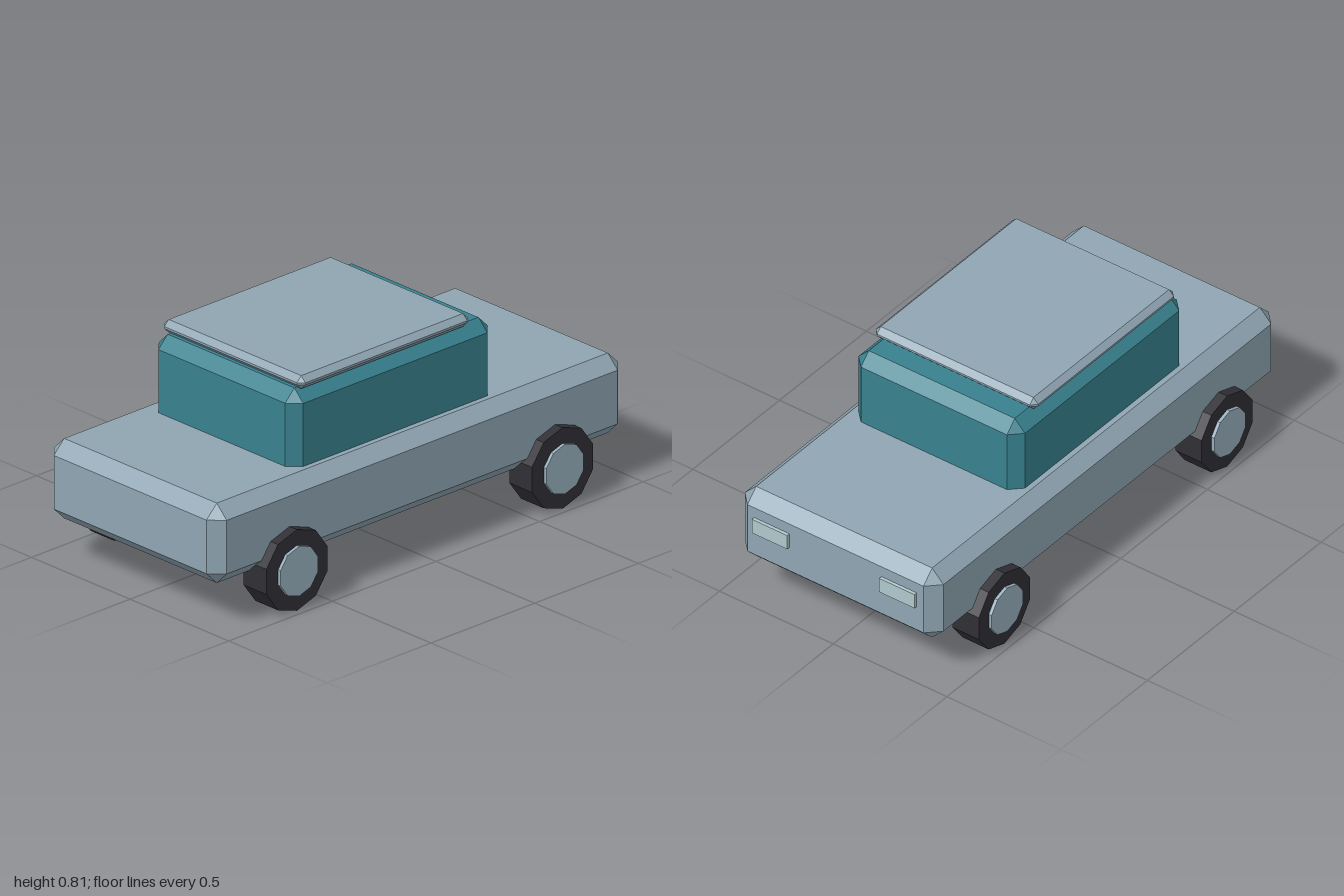
import * as THREE from 'three';
import { ConvexGeometry } from 'three/addons/geometries/ConvexGeometry.js';

const mat = (name, color) => {
  const m = new THREE.MeshStandardMaterial({ color, flatShading: true });
  m.name = name;
  return m;
};

// Box with bevelled edges between two corners
function bevelBox([x0, y0, z0], [x1, y1, z1], c) {
  const w = (x1 - x0) / 2, h = (y1 - y0) / 2, d = (z1 - z0) / 2;
  const pts = [];
  for (const sx of [-1, 1]) for (const sy of [-1, 1]) for (const sz of [-1, 1]) {
    pts.push(
      new THREE.Vector3(sx * w, sy * (h - c), sz * (d - c)),
      new THREE.Vector3(sx * (w - c), sy * h, sz * (d - c)),
      new THREE.Vector3(sx * (w - c), sy * (h - c), sz * d));
  }
  return new ConvexGeometry(pts).translate((x0 + x1) / 2, (y0 + y1) / 2, (z0 + z1) / 2);
}

export function createModel() {
  const group = new THREE.Group();
  group.name = 'car';
  const paint = mat('greyBluePaint', 0x8fa5b2);
  const glass = mat('tealGlass', 0x38818f);
  const rubber = mat('darkRubber', 0x302f35);
  const metal = mat('hubMetal', 0x98b0be);
  const lens = mat('paleLens', 0xb0c8cc);

  const add = (name, geometry, material, parent = group) => {
    const mesh = new THREE.Mesh(geometry, material);
    mesh.name = name;
    parent.add(mesh);
    return mesh;
  };

  // Body, cabin sunk into it, and thin roof panel
  add('body', bevelBox([-0.437, 0.163, -0.987], [0.437, 0.468, 1], 0.05), paint);
  add('cabin', bevelBox([-0.366, 0.4, -0.42], [0.366, 0.754, 0.558], 0.045), glass);
  add('roof', bevelBox([-0.357, 0.75, -0.308], [0.357, 0.8, 0.515], 0.021), paint);

  // Ten-sided wheels with raised hubs
  const tyre = new THREE.CylinderGeometry(0.155, 0.155, 0.115, 10).rotateZ(Math.PI / 2);
  const hub = new THREE.CylinderGeometry(0.095, 0.095, 0.03, 10).rotateZ(Math.PI / 2);
  for (const side of [-1, 1]) {
    for (const [end, z] of [['front', 0.647], ['rear', -0.635]]) {
      const wheel = new THREE.Group();
      wheel.name = `${end}${side > 0 ? 'Left' : 'Right'}Wheel`;
      wheel.position.set(side * 0.417, 0.1475, z);
      add('tyre', tyre, rubber, wheel).rotation.x = Math.PI / 2;
      const cap = add('hub', hub, metal, wheel);
      cap.position.x = side * 0.055;
      cap.rotation.x = Math.PI / 2;
      group.add(wheel);
    }
    // Lamps on the end panel
    const lamp = add(side > 0 ? 'leftLamp' : 'rightLamp', new THREE.BoxGeometry(0.155, 0.06, 0.025), lens);
    lamp.position.set(side * 0.28, 0.345, -0.9875);
  }
  return group;
}
